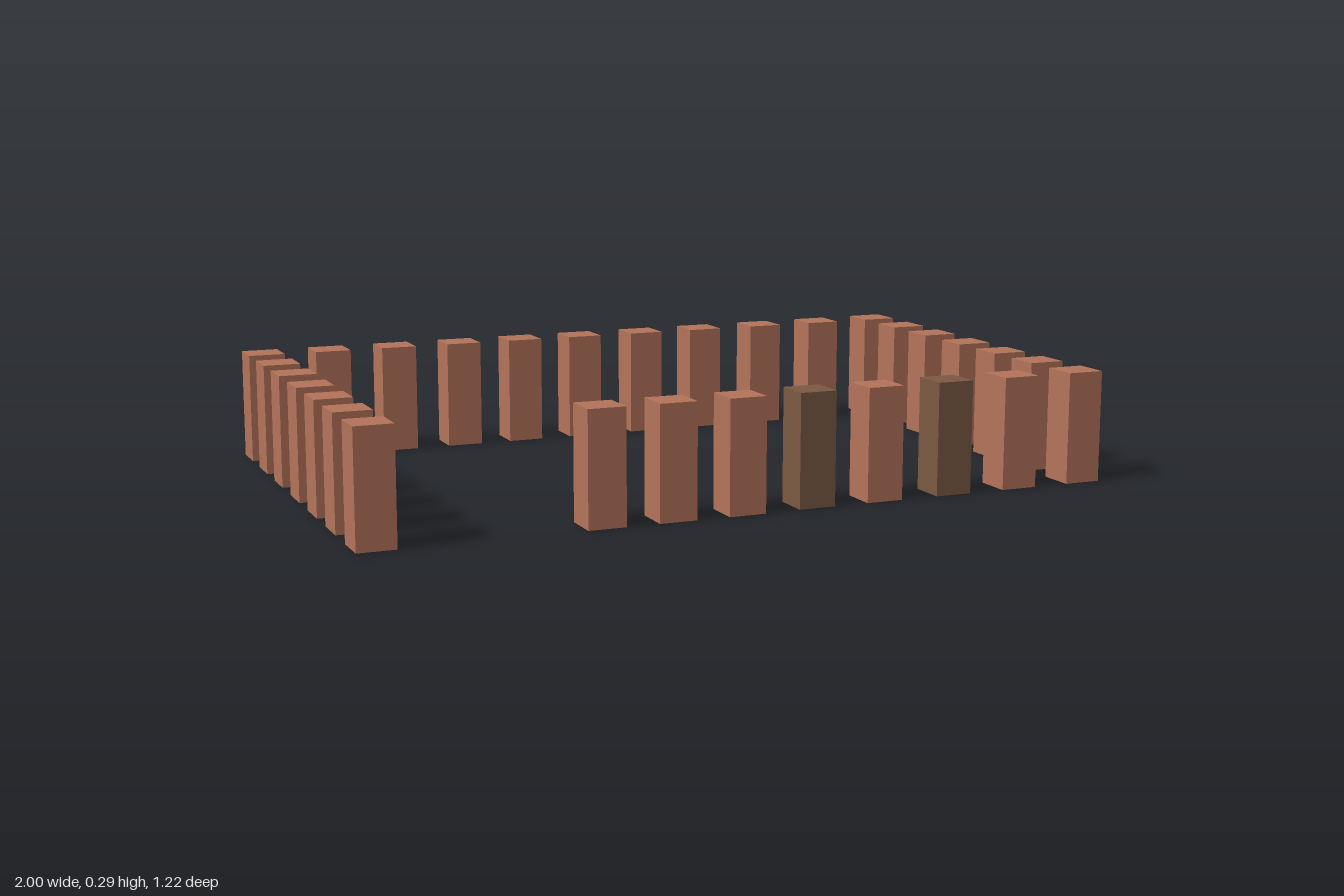
import * as THREE from 'three';

export function createModel() {
  const model = new THREE.Group();
  const W = 0.098, H = 0.293;
  const geometry = new THREE.BoxGeometry(W, H, W).translate(0, H / 2, 0);
  const clay = new THREE.MeshStandardMaterial({ color: 0xb5745b });
  const dark = new THREE.MeshStandardMaterial({ color: 0x7c5a43 });

  // Post positions along the long and short sides
  const xs = [-0.951, -0.766, -0.578, -0.388, -0.204, -0.02, 0.173, 0.363, 0.562, 0.757, 0.951];
  const zs = [-0.375, -0.191, 0.002, 0.188, 0.372];

  const addPost = (row, name, x, z, material = clay) => {
    const post = new THREE.Mesh(geometry, material);
    post.name = name;
    post.position.set(x, 0, z);
    row.add(post);
  };
  const addRow = (name) => {
    const row = new THREE.Group();
    row.name = name;
    model.add(row);
    return row;
  };

  // Full back row
  const back = addRow('backRow');
  xs.forEach((x, i) => addPost(back, `backPost${i + 1}`, x, -0.561));

  // Front row with an entrance gap and two dark posts
  const front = addRow('frontRow');
  xs.forEach((x, i) => {
    if (i === 1 || i === 2) return;
    const isDark = i === 6 || i === 8;
    const name = isDark ? `darkPost${i + 1}` : `frontPost${i + 1}`;
    addPost(front, name, x, i < 6 ? 0.56 : 0.554, isDark ? dark : clay);
  });

  // Matching side rows
  for (const [side, x] of [['right', -0.951], ['left', 0.951]]) {
    const row = addRow(`${side}Row`);
    zs.forEach((z, i) => addPost(row, `${side}Post${i + 1}`, x, z));
  }

  return model;
}
